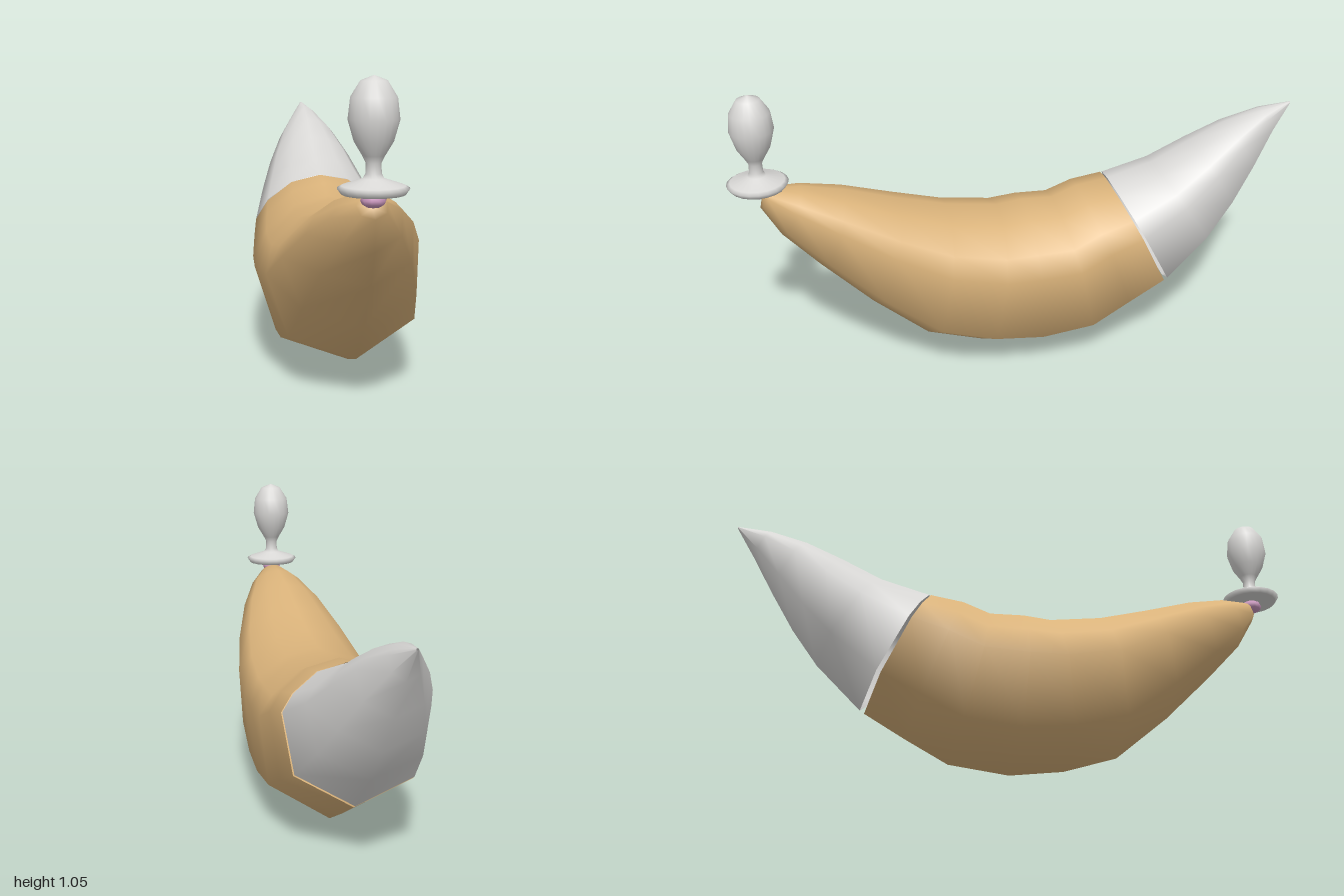
import * as THREE from 'three';

// Irregular cross-section of the horn: [across, up], counterclockwise from the bottom ridge
const SECTION = [
  [0.15, -1], [0.93, -0.5], [1, 0.37], [0.82, 0.62], [0.45, 0.9],
  [0, 1], [-0.45, 0.87], [-0.82, 0.52], [-1, 0.15], [-0.73, -0.68],
];

// Rings run from front to back: [topZ, topY, bottomZ, bottomY, halfWidth]
const HORN = [
  [0.86, 0.72, 0.9, 0.655, 0.045],
  [0.76, 0.715, 0.84, 0.55, 0.105],
  [0.62, 0.685, 0.72, 0.42, 0.165],
  [0.44, 0.63, 0.55, 0.25, 0.22],
  [0.27, 0.585, 0.36, 0.09, 0.255],
  [0.09, 0.56, 0.17, 0.03, 0.268],
  [0.0, 0.57, -0.02, 0.005, 0.272],
  [-0.11, 0.565, -0.23, 0.03, 0.268],
  [-0.2, 0.6, -0.38, 0.11, 0.255],
  [-0.31, 0.615, -0.52, 0.19, 0.24],
];
const CAP = [
  [-0.315, 0.615, -0.535, 0.2, 0.238],
  [-0.48, 0.66, -0.69, 0.35, 0.2],
  [-0.62, 0.73, -0.78, 0.47, 0.16],
  [-0.75, 0.79, -0.86, 0.6, 0.11],
  [-0.88, 0.83, -0.935, 0.73, 0.05],
  [-1, 0.842, -1, 0.835, 0.004],
];

// Skins a row of rings; optionally closes the front end
function loft(rings, closeFront) {
  const n = SECTION.length;
  const positions = [];
  const index = [];
  for (const [tz, ty, bz, by, w] of rings) {
    for (const [u, v] of SECTION) {
      const t = (v + 1) / 2;
      positions.push(u * w, by + (ty - by) * t, bz + (tz - bz) * t);
    }
  }
  for (let i = 0; i < rings.length - 1; i++) {
    for (let j = 0; j < n; j++) {
      const k = (j + 1) % n;
      const a = i * n + j, b = i * n + k, c = a + n, d = b + n;
      index.push(a, c, b, b, c, d);
    }
  }
  if (closeFront) {
    const [tz, ty, bz, by] = rings[0];
    const centre = positions.length / 3;
    positions.push(0, (ty + by) / 2, (tz + bz) / 2 + 0.008);
    for (let j = 0; j < n; j++) index.push(centre, j, (j + 1) % n);
  }
  const geometry = new THREE.BufferGeometry();
  geometry.setAttribute('position', new THREE.Float32BufferAttribute(positions, 3));
  geometry.setIndex(index);
  geometry.computeVertexNormals();
  return geometry;
}

export function createModel() {
  const tan = new THREE.MeshStandardMaterial({ name: 'tan horn', color: 0xd9b27a, side: THREE.DoubleSide });
  const silver = new THREE.MeshStandardMaterial({ name: 'silver', color: 0xd8d7d5, side: THREE.DoubleSide });
  const pink = new THREE.MeshStandardMaterial({ name: 'pink', color: 0xcc99c0 });

  const group = new THREE.Group();
  group.name = 'horn';
  const add = (name, geometry, material, y = 0, z = 0) => {
    const mesh = new THREE.Mesh(geometry, material);
    mesh.name = name;
    mesh.position.set(0, y, z);
    group.add(mesh);
    return mesh;
  };

  // Curved horn and its pointed metal cap
  add('hornBody', loft(HORN, true), tan);
  add('hornCap', loft(CAP, false), silver);

  // Turned stopper: flared flange, thin neck, egg-shaped knob
  const profile = [
    [0, 0.727], [0.09, 0.728], [0.102, 0.745], [0.09, 0.752], [0.03, 0.772],
    [0.023, 0.785], [0.022, 0.815], [0.032, 0.835], [0.056, 0.875], [0.073, 0.935],
    [0.066, 0.995], [0.038, 1.04], [0, 1.055],
  ].map(([r, y]) => new THREE.Vector2(r, y));
  add('stopper', new THREE.LatheGeometry(profile, 20), silver, 0, 0.9);

  // Small bead joining the stopper to the horn tip
  const bead = add('stopperBead', new THREE.SphereGeometry(0.037, 10, 6), pink, 0.711, 0.9);
  bead.scale.y = 0.62;

  return group;
}
